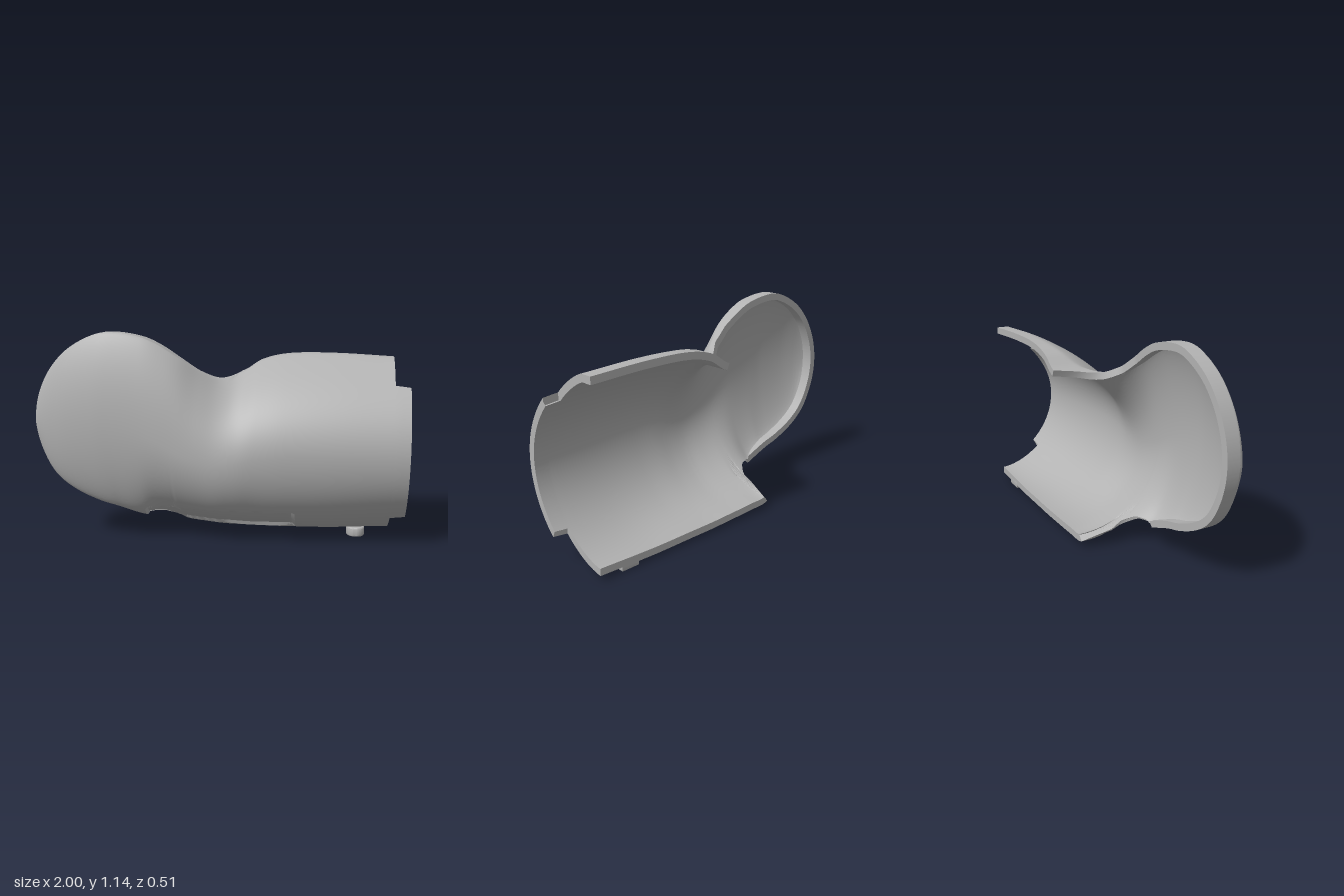
import * as THREE from 'three';
import { toCreasedNormals } from 'three/addons/utils/BufferGeometryUtils.js';

const BACK = -0.255, RIM = 0.07, WALL = 0.038;

// Section keys: x, top y, bottom y, front z, z where the top / bottom levels out, bottom fullness
const KEYS = [
  [-1, 0.66, 0.66, 0.145, 0.14, 0.14, 1.4],
  [-0.97, 0.82, 0.5, 0.172, 0.145, 0.14, 1.4],
  [-0.9, 0.95, 0.37, 0.2, 0.145, 0.145, 1.4],
  [-0.8, 1.05, 0.285, 0.225, 0.145, 0.145, 1.4],
  [-0.65, 1.125, 0.215, 0.245, 0.145, 0.14, 1.4],
  [-0.55, 1.135, 0.185, 0.25, 0.145, 0.13, 1.4],
  [-0.4, 1.11, 0.125, 0.253, 0.145, 0.07, 1.5],
  [-0.3, 1.065, 0.08, 0.255, 0.14, -0.08, 1.7],
  [-0.2, 1.0, 0.035, 0.255, 0.125, BACK, 2.0],
  [-0.1, 0.93, 0.03, 0.254, 0.07, BACK, 2.1],
  [0, 0.885, 0.026, 0.252, 0, BACK, 2.2],
  [0.1, 0.908, 0.023, 0.249, -0.1, BACK, 2.2],
  [0.2, 0.97, 0.02, 0.245, -0.16, BACK, 2.2],
  [0.35, 1.005, 0.02, 0.237, -0.19, BACK, 2.2],
  [0.6, 1.01, 0.02, 0.215, -0.19, BACK, 2.0],
  [0.92, 0.995, 0.032, 0.18, -0.19, BACK, 1.7],
  [1, 0.99, 0.035, 0.17, -0.19, BACK, 1.66],
];
// Rear edges of the shell: x, z
const TOP_EDGE = [[-1, RIM], [-0.2, RIM], [-0.1, 0.045], [0, -0.04], [0.05, -0.12], [0.07, -0.18], [0.08, BACK], [1, BACK]];
const BOTTOM_EDGE = [[-1, RIM], [-0.36, RIM], [-0.3, 0.04], [-0.26, -0.02], [-0.24, -0.08], [-0.232, BACK], [1, BACK]];

const bend = (x) => Math.sqrt(Math.max(0, x + 1)); // rounds off the closed tip

function linear(table, x) {
  let k = 0;
  while (k < table.length - 2 && x > table[k + 1][0]) k++;
  const [a, b] = [table[k], table[k + 1]];
  return THREE.MathUtils.lerp(a[1], b[1], THREE.MathUtils.clamp((x - a[0]) / (b[0] - a[0]), 0, 1));
}

// Smooth interpolation of all section values
function sectionAt(x) {
  const n = KEYS.length, w = bend(x);
  let k = 0;
  while (k < n - 2 && x > KEYS[k + 1][0]) k++;
  const w0 = bend(KEYS[k][0]), h = bend(KEYS[k + 1][0]) - w0, t = (w - w0) / h;
  const slope = (i, c) => {
    const a = KEYS[Math.max(0, i - 1)], b = KEYS[Math.min(n - 1, i + 1)];
    return (b[c] - a[c]) / (bend(b[0]) - bend(a[0]));
  };
  return KEYS[k].map((v, c) =>
    v * (2 * t ** 3 - 3 * t * t + 1) + KEYS[k + 1][c] * (3 * t * t - 2 * t ** 3) +
    h * slope(k, c) * (t ** 3 - 2 * t * t + t) + h * slope(k + 1, c) * (t ** 3 - t * t));
}

// Point on the outer skin; v runs from -1 (top edge) over the front to 1 (bottom edge)
function skinPoint(x, v, edge) {
  const [, yT, yB, front, flatT, flatB, pB] = sectionAt(x);
  const top = v < 0, mid = (yT + yB) / 2;
  const trim = edge ?? linear(top ? TOP_EDGE : BOTTOM_EDGE, x);
  const z = front - (front - trim) * v * v;
  const s = Math.min(1, (front - z) / (front - (top ? flatT : flatB)));
  const f = Math.sqrt(Math.max(0, 1 - (1 - s) ** (top ? 1.25 : pB)));
  return new THREE.Vector3(x, mid + ((top ? yT : yB) - mid) * f, z);
}

// Shallow recess along the lower front
function recess(p) {
  const ramp = (d, w) => THREE.MathUtils.clamp(d / w, 0, 1);
  if (p.y > 0.3) return 0;
  return 0.02 * ramp(0.182 - p.y, 0.01) * ramp(p.y - 0.055, 0.006) *
    ramp(p.x + 0.4, 0.01) * ramp(0.405 - p.x, 0.01);
}

// Closed wall between x0 and x1: outer skin, inner skin, edges and ends
function shell(x0, x1, nx, half, edge) {
  const rows = 2 * half, loop = 2 * (rows + 1), pos = [], idx = [], grid = [];
  for (let i = 0; i <= nx; i++) {
    const x = Math.min(x1, THREE.MathUtils.lerp(bend(x0), bend(x1), i / nx) ** 2 - 1);
    grid.push(Array.from({ length: rows + 1 }, (_, j) => skinPoint(x, j / half - 1, edge)));
  }
  for (let i = 0; i <= nx; i++) {
    const outer = [], inner = [];
    for (let j = 0; j <= rows; j++) {
      const p = grid[i][j];
      const across = grid[i][Math.min(rows, j + 1)].clone().sub(grid[i][Math.max(0, j - 1)]);
      const along = grid[Math.min(nx, i + 1)][j].clone().sub(grid[Math.max(0, i - 1)][j]);
      const n = across.cross(along);
      if (j === 0 || j === rows) n.z = 0; // keep the rear edges flat
      if (i === nx || (i === 0 && x0 > -1)) n.x = 0; // keep the ends flat
      if (i === 0 && x0 === -1) n.set(-1, 0, 0);
      n.normalize();
      outer.push(p.clone().addScaledVector(n, -recess(p)));
      inner.unshift(p.clone().addScaledVector(n, -WALL));
    }
    [...outer, ...inner].forEach((p) => pos.push(p.x, p.y, p.z));
  }
  for (let i = 0; i < nx; i++) {
    for (let j = 0; j < loop; j++) {
      const a = i * loop + j, b = i * loop + (j + 1) % loop;
      idx.push(a, b, a + loop, b, b + loop, a + loop);
    }
  }
  const end = nx * loop;
  for (let j = 0; j < rows; j++) {
    const o = j, o2 = j + 1, q = loop - 1 - j, q2 = loop - 2 - j;
    idx.push(o, q, o2, o2, q, q2);
    idx.push(end + o, end + o2, end + q, end + o2, end + q2, end + q);
  }
  const g = new THREE.BufferGeometry();
  g.setAttribute('position', new THREE.Float32BufferAttribute(pos, 3));
  g.setIndex(idx);
  return toCreasedNormals(g, 0.5);
}

// Rounded screw boss with a hole, hanging under the sleeve
function bossGeometry() {
  const r = 0.042, s = new THREE.Shape();
  s.moveTo(-r, BACK + 0.008);
  s.lineTo(r, BACK + 0.008);
  s.lineTo(r, -0.135);
  s.absarc(0, -0.135, r, 0, Math.PI, false);
  s.closePath();
  const hole = new THREE.Path();
  hole.absarc(0, -0.165, 0.024, 0, Math.PI * 2, true);
  s.holes.push(hole);
  const g = new THREE.ExtrudeGeometry(s, {
    depth: 0.036, bevelEnabled: true, bevelSize: 0.008, bevelThickness: 0.008, bevelSegments: 3, curveSegments: 16,
  });
  g.rotateX(Math.PI / 2);
  return toCreasedNormals(g, 0.6);
}

export function createModel() {
  const group = new THREE.Group();
  const grey = new THREE.MeshStandardMaterial({ color: 0xb2b2b2 });
  grey.name = 'grey plastic';
  const add = (name, geometry) => {
    const mesh = new THREE.Mesh(geometry, grey);
    mesh.name = name;
    group.add(mesh);
    return mesh;
  };
  // Cup and sleeve in one wall, then the narrower joining lip
  add('cupAndSleeve', shell(-1, 0.92, 170, 56));
  add('joiningLip', shell(0.915, 1, 4, 40, 0.01));
  add('screwBoss', bossGeometry()).position.set(0.745, 0.044, 0);
  return group;
}
